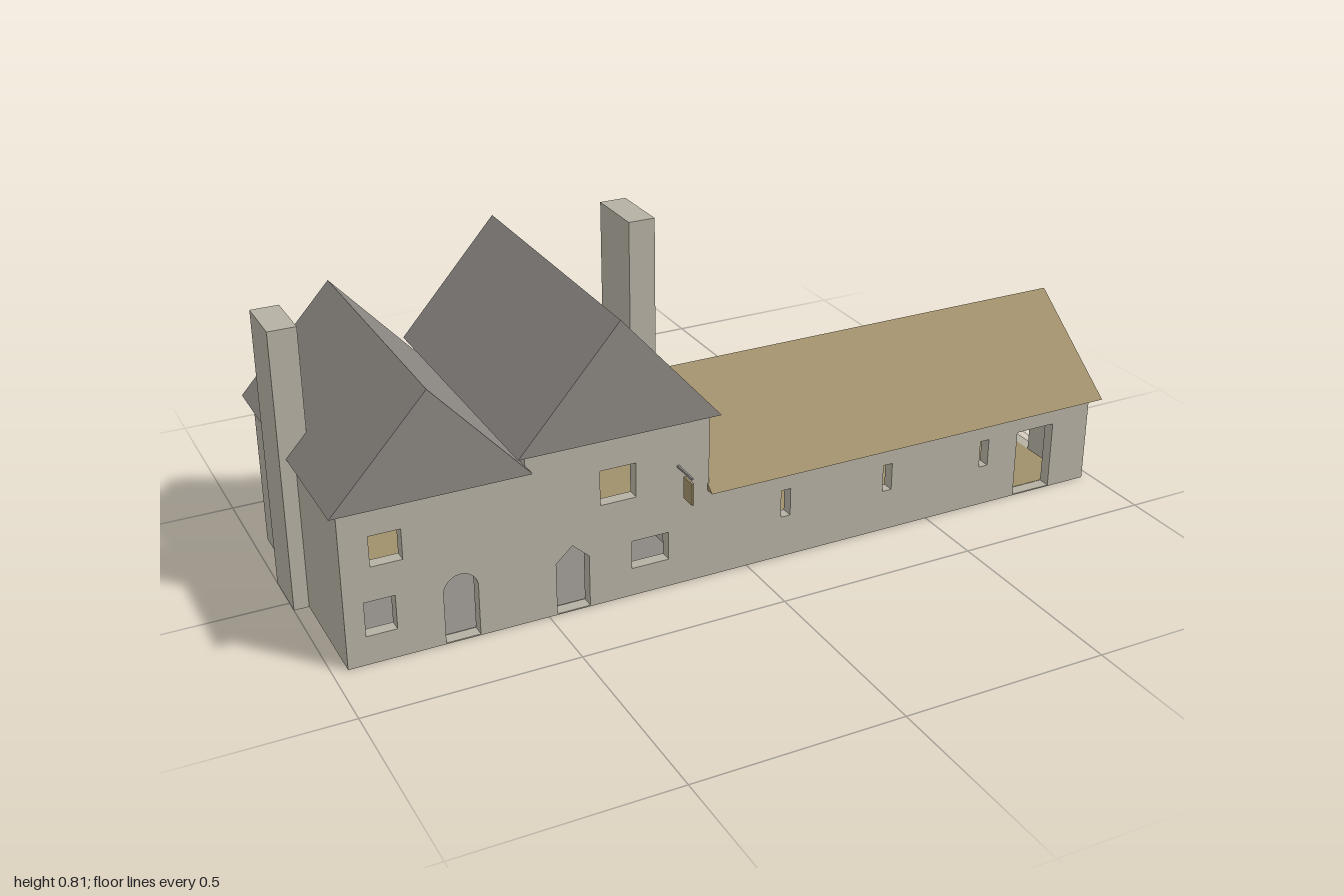
import * as THREE from 'three';

const mat = (name, color) => {
  const m = new THREE.MeshStandardMaterial({ color });
  m.name = name;
  return m;
};

export function createModel() {
  const stone = mat('stone', 0xb5b0a3);
  const slate = mat('slate', 0x8b8782);
  const wood = mat('thatch and wood', 0xa0906b);
  const root = new THREE.Group();
  root.name = 'farmhouse';
  const T = 0.03; // wall thickness

  const add = (name, geometry, material) => {
    const mesh = new THREE.Mesh(geometry, material);
    mesh.name = name;
    root.add(mesh);
    return mesh;
  };
  // box from its lower and upper limits on each axis
  const box = (name, material, x0, x1, y0, y1, z0, z1) => {
    const m = add(name, new THREE.BoxGeometry(x1 - x0, y1 - y0, z1 - z0), material);
    m.position.set((x0 + x1) / 2, (y0 + y1) / 2, (z0 + z1) / 2);
    return m;
  };

  // openings: rectangular, round-arched or pointed
  const rect = (a, b, y0, y1) => new THREE.Path([
    [a, y0], [a, y1], [b, y1], [b, y0]].map(p => new THREE.Vector2(...p)));
  const pointed = (a, b, y0, spring, top) => new THREE.Path([
    [a, y0], [a, spring], [(a + b) / 2, top], [b, spring], [b, y0]].map(p => new THREE.Vector2(...p)));
  const arched = (a, b, y0, top) => {
    const r = (b - a) / 2, p = new THREE.Path();
    p.moveTo(a, y0);
    p.lineTo(a, top - r);
    p.absarc(a + r, top - r, r, Math.PI, 0, true);
    p.lineTo(b, y0);
    p.closePath();
    return p;
  };
  const slab = (a, b, h, holes) => {
    const s = new THREE.Shape([[a, 0], [b, 0], [b, h], [a, h]].map(p => new THREE.Vector2(...p)));
    s.holes.push(...holes);
    return new THREE.ExtrudeGeometry(s, { depth: T, bevelEnabled: false });
  };
  // wall running along x, with its outer or inner face at z + T
  const wallX = (name, x0, x1, h, z, holes = []) => {
    add(name, slab(x0, x1, h, holes), stone).position.z = z;
  };
  // wall running along z, filling x - T to x
  const wallZ = (name, z0, z1, h, x, holes = []) => {
    const m = add(name, slab(z0, z1, h, holes), stone);
    m.rotation.y = -Math.PI / 2;
    m.position.x = x;
  };
  // closed gable roof: triangle (half width, rise) swept along its ridge
  const roof = (name, material, half, rise, length) => {
    const s = new THREE.Shape([[-half, 0], [half, 0], [0, rise]].map(p => new THREE.Vector2(...p)));
    return add(name, new THREE.ExtrudeGeometry(s, { depth: length, bevelEnabled: false }), material);
  };

  const F = 0.32; // shared front face

  // lower house block
  wallX('leftHouseFrontWall', -0.965, -0.545, 0.378, F - T, [
    rect(-0.9, -0.828, 0.235, 0.308),
    rect(-0.92, -0.85, 0.07, 0.153),
    arched(-0.743, -0.663, 0.003, 0.165),
  ]);
  wallX('leftHouseBackWall', -0.965, -0.545, 0.378, -0.31, [rect(-0.79, -0.725, 0.24, 0.305)]);
  wallZ('leftHouseEndWall', -0.31 + T, F - T, 0.378, -0.965 + T);
  roof('leftHouseRoof', slate, 0.225, 0.247, 0.67).position.set(-0.76, 0.377, -0.33);

  // taller house block
  wallX('mainHouseFrontWall', -0.545, -0.1, 0.417, F - T, [
    rect(-0.37, -0.283, 0.25, 0.335),
    rect(-0.295, -0.203, 0.07, 0.14),
    pointed(-0.48, -0.4, 0.003, 0.13, 0.167),
  ]);
  wallX('mainHouseBackWall', -0.545, -0.1, 0.417, -0.372, [
    rect(-0.355, -0.295, 0.26, 0.32),
    rect(-0.355, -0.288, 0.07, 0.135),
  ]);
  wallZ('mainHouseLeftWall', -0.372 + T, F - T, 0.417, -0.545 + T);
  wallZ('mainHouseRightWall', -0.372 + T, F - T, 0.417, -0.1);
  roof('mainHouseRoof', slate, 0.244, 0.276, 0.733).position.set(-0.324, 0.417, -0.392);

  // long barn
  const slits = [0.09, 0.37, 0.65].map(x => rect(x, x + 0.025, 0.105, 0.175));
  wallX('barnFrontWall', -0.1, 0.975, 0.224, F - T, [...slits, rect(0.76, 0.868, 0.003, 0.175)]);
  wallX('barnBackWall', -0.1, 0.975, 0.224, -0.165);
  wallZ('barnEndWall', -0.165 + T, F - T, 0.224, 0.975, [rect(0.023, 0.133, 0.003, 0.175)]);
  const thatch = roof('barnRoof', wood, 0.265, 0.206, 1.102);
  thatch.rotation.y = Math.PI / 2;
  thatch.position.set(-0.104, 0.224, 0.078);

  // chimneys
  box('leftChimney', stone, -1, -0.935, 0, 0.68, -0.1, 0.035);
  box('mainChimney', stone, -0.182, -0.118, 0.42, 0.805, -0.068, 0.085);

  // floors
  box('leftHouseFloor', slate, -0.935, -0.545, 0.001, 0.004, -0.28, 0.29);
  box('mainHouseFloor', slate, -0.515, -0.13, 0.001, 0.004, -0.342, 0.29);
  box('barnFloor', wood, -0.1, 0.945, 0.001, 0.004, -0.135, 0.29);
  box('leftUpperFloor', wood, -0.935, -0.545, 0.195, 0.205, -0.28, 0.29);
  box('mainUpperFloor', wood, -0.515, -0.13, 0.195, 0.205, -0.342, 0.29);

  // furniture inside
  box('leftTable', wood, -0.8, -0.673, 0.004, 0.068, -0.05, 0.03);
  box('leftBench', wood, -0.78, -0.705, 0.004, 0.035, 0.06, 0.1);
  box('mainTable', wood, -0.465, -0.385, 0.004, 0.053, -0.05, 0.05);

  // barn stall
  box('stallPost', wood, 0.29, 0.303, 0.004, 0.224, 0.077, 0.09);
  box('stallPanel', wood, 0.29, 0.3, 0.004, 0.098, -0.135, 0.057);
  box('stallRail', wood, 0.7, 0.945, 0.063, 0.096, -0.135, -0.09);

  // hanging sign
  box('signBracket', slate, -0.181, -0.176, 0.3, 0.305, F, 0.39);
  box('signBoard', wood, -0.181, -0.176, 0.238, 0.292, 0.352, 0.393);

  return root;
}
